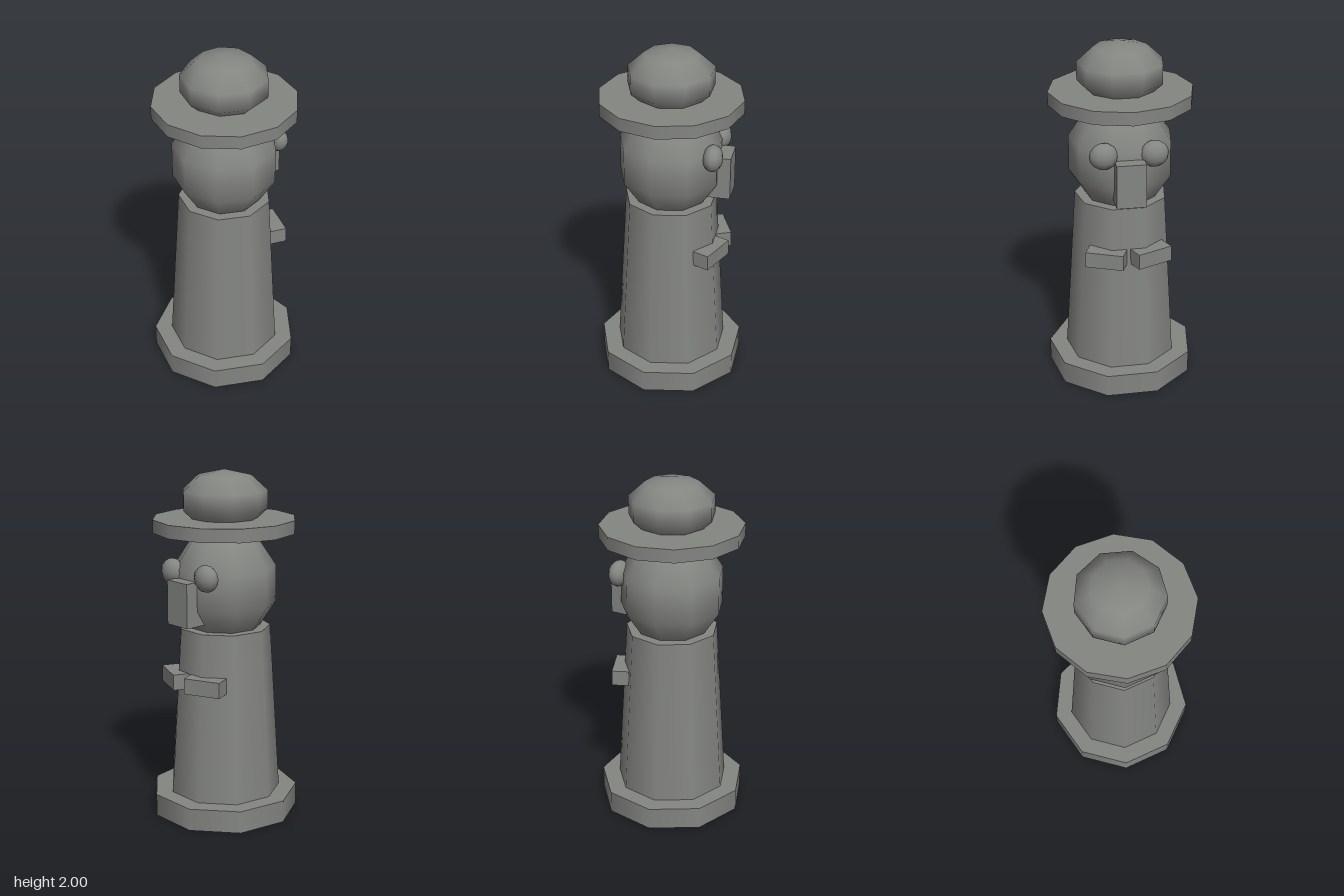
import * as THREE from 'three';

export function createModel() {
  const model = new THREE.Group();
  model.name = 'figure';
  const grey = new THREE.MeshStandardMaterial({ color: 0x848682 });
  grey.name = 'stone grey';
  const body = new THREE.Group();
  body.name = 'statue';
  body.position.z = -0.013;
  model.add(body);

  const add = (name, geometry, x, y, z) => {
    const mesh = new THREE.Mesh(geometry, grey);
    mesh.name = name;
    mesh.position.set(x, y, z);
    body.add(mesh);
    return mesh;
  };
  // Upright drum from y0 to y1
  const drum = (name, rTop, rBottom, y0, y1, sides) =>
    add(name, new THREE.CylinderGeometry(rTop, rBottom, y1 - y0, sides), 0, (y0 + y1) / 2, 0);
  // Stretched sphere with a corner facing +z
  const ball = (name, rx, ry, rz, x, y, z, sides, rings) =>
    add(name, new THREE.SphereGeometry(1, sides, rings).rotateY(Math.PI / 2).scale(rx, ry, rz), x, y, z);

  // Foot, robe and head
  drum('base', 0.427, 0.427, 0, 0.13, 9);
  drum('robe', 0.264, 0.325, 0.13, 1.11, 9);
  ball('head', 0.31, 0.34, 0.31, 0, 1.35, 0, 9, 5);

  // Hat
  drum('hatBrim', 0.407, 0.407, 1.655, 1.73, 12);
  ball('hatCrown', 0.256, 0.17, 0.256, 0, 1.83, 0, 9, 5);

  // Face, on the -z side
  add('nose', new THREE.BoxGeometry(0.165, 0.25, 0.18), 0, 1.285, -0.262);

  // Eyes and arms, mirrored
  for (const side of [1, -1]) {
    const label = side > 0 ? 'left' : 'right';
    ball(label + 'Eye', 0.08, 0.075, 0.056, side * 0.14, 1.437, -0.262, 12, 8);
    const arm = add(label + 'Arm', new THREE.BoxGeometry(0.217, 0.09, 0.098), side * 0.126, 0.822, -0.26);
    arm.rotation.y = -side * 0.4;
  }
  return model;
}
